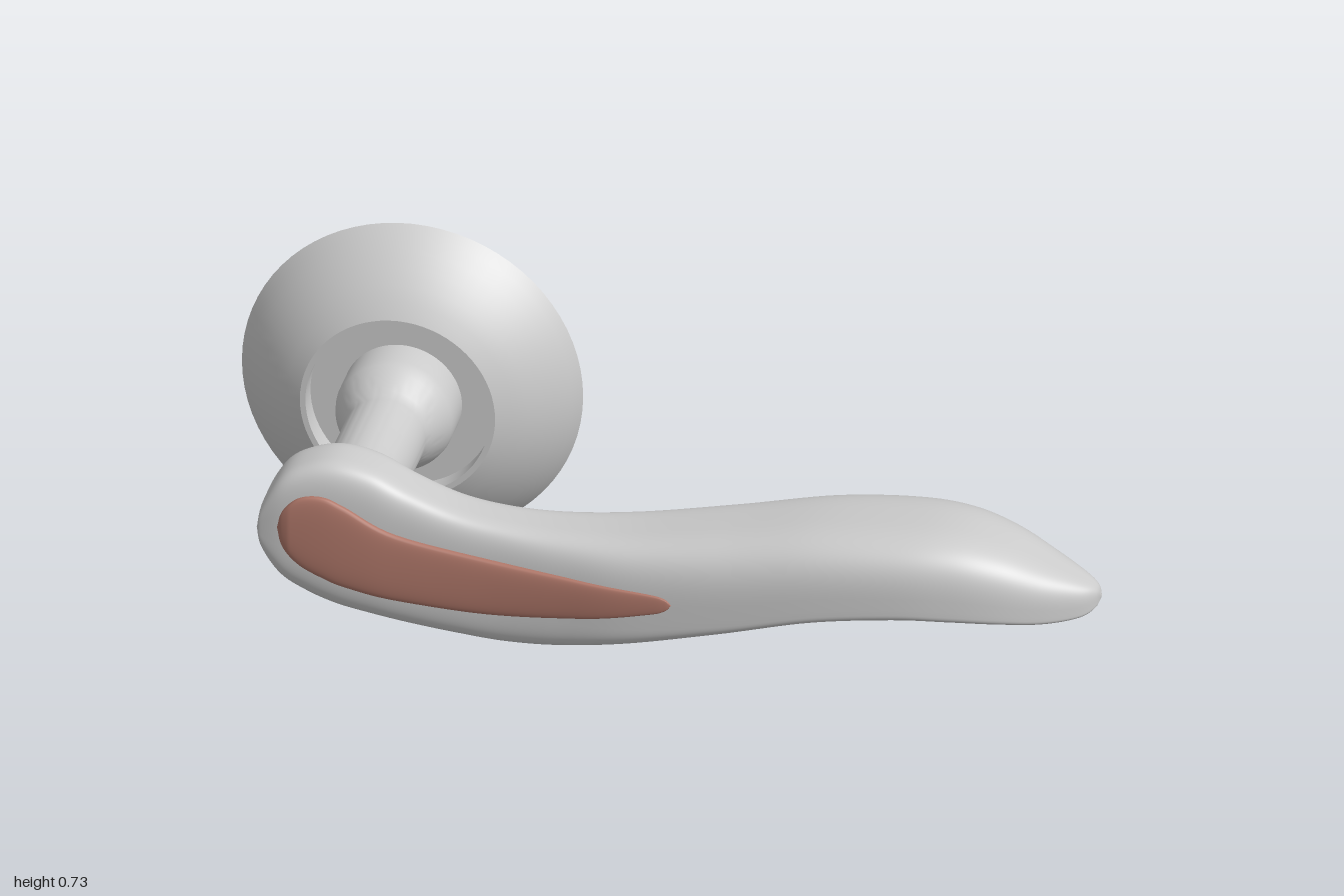
import * as THREE from 'three';
import { toCreasedNormals } from 'three/addons/utils/BufferGeometryUtils.js';

const CX = -0.635, CY = 0.368;   // spindle axis

// lever outline stations: x, top y, bottom y, back z, front z
const LEVER = [
  [-0.805, 0.375, 0.375, 0.19, 0.31],
  [-0.795, 0.43, 0.32, 0.183, 0.317],
  [-0.755, 0.495, 0.262, 0.176, 0.326],
  [-0.7, 0.528, 0.229, 0.172, 0.33],
  [-0.635, 0.541, 0.205, 0.17, 0.332],
  [-0.56, 0.527, 0.19, 0.172, 0.332],
  [-0.48, 0.49, 0.178, 0.178, 0.331],
  [-0.38, 0.455, 0.168, 0.182, 0.332],
  [-0.27, 0.438, 0.163, 0.177, 0.338],
  [-0.15, 0.434, 0.175, 0.159, 0.354],
  [0, 0.445, 0.21, 0.13, 0.38],
  [0.2, 0.48, 0.27, 0.105, 0.402],
  [0.4, 0.52, 0.33, 0.091, 0.416],
  [0.58, 0.537, 0.359, 0.09, 0.417],
  [0.7, 0.535, 0.363, 0.105, 0.406],
  [0.8, 0.51, 0.36, 0.13, 0.384],
  [0.89, 0.468, 0.355, 0.162, 0.348],
  [0.96, 0.435, 0.36, 0.2, 0.307],
  [0.99, 0.416, 0.374, 0.227, 0.277],
  [1, 0.395, 0.395, 0.25, 0.25],
];

// inlay outline stations: x, top y, bottom y
const INLAY = [
  [-0.757, 0.39, 0.39], [-0.745, 0.43, 0.348], [-0.71, 0.464, 0.31],
  [-0.66, 0.473, 0.285], [-0.61, 0.455, 0.268], [-0.5, 0.402, 0.249],
  [-0.3, 0.37, 0.243], [-0.1, 0.357, 0.27], [0.05, 0.355, 0.308],
  [0.09, 0.35, 0.323], [0.105, 0.338, 0.338],
];

const spline = (rows, cols) => new THREE.CatmullRomCurve3(
  rows.map(r => new THREE.Vector3(...cols.map(c => r[c]))), false, 'catmullrom', 0.5);

const heights = spline(LEVER, [0, 1, 2]);
const depths = spline(LEVER, [0, 3, 4]);
const inlayEdge = spline(INLAY, [0, 1, 2]);

// Section of the lever: a rounded box at the head, a domed top over a flat base at the grip
function section(t) {
  const h = heights.getPoint(t), d = depths.getPoint(t);
  const k = THREE.MathUtils.smoothstep(h.x, -0.45, 0.35);
  const mid = THREE.MathUtils.lerp(h.z, h.y, THREE.MathUtils.lerp(0.5, 0.2, k));
  return {
    x: h.x, mid, up: h.y - mid, down: mid - h.z,
    z: (d.y + d.z) / 2, half: (d.z - d.y) / 2,
    nUp: THREE.MathUtils.lerp(4.5, 3.3, k), nDown: THREE.MathUtils.lerp(4.5, 5, k),
  };
}

const power = (v, n) => Math.sign(v) * Math.abs(v) ** (2 / n);

function leverPoint(t, a) {
  const s = section(t), sin = Math.sin(a);
  const n = sin >= 0 ? s.nUp : s.nDown;
  return [s.x, s.mid + power(sin, n) * (sin >= 0 ? s.up : s.down), s.z + power(Math.cos(a), n) * s.half];
}

// Front face of the lever at a given x and y
function leverFront(x, y) {
  let lo = 0, hi = 1;
  for (let i = 0; i < 24; i++) {
    const m = (lo + hi) / 2;
    if (heights.getPoint(m).x < x) lo = m; else hi = m;
  }
  const s = section(lo), v = y - s.mid;
  const n = v >= 0 ? s.nUp : s.nDown;
  const r = Math.min(1, Math.abs(v) / (v >= 0 ? s.up : s.down));
  return s.z + s.half * (1 - r ** n) ** (1 / n);
}

// Shallow dome that follows the lever's front, with its underside sunk into the lever
function inlayPoint(t, a) {
  const e = inlayEdge.getPoint(t), c = Math.cos(a);
  const y = (e.y + e.z) / 2 + Math.sin(a) * (e.y - e.z) / 2;
  const lift = c >= 0 ? 0.003 + 0.013 * Math.sqrt(c) * Math.min(1, (e.y - e.z) / 0.12) : -0.02;
  return [e.x, y, leverFront(e.x, y) + lift];
}

// Closed loops of points joined along x
function loft(point, rings, sides) {
  const pos = [], index = [];
  for (let i = 0; i <= rings; i++)
    for (let j = 0; j < sides; j++) pos.push(...point(i / rings, (j / sides) * Math.PI * 2));
  for (let i = 0; i < rings; i++)
    for (let j = 0; j < sides; j++) {
      const k = (j + 1) % sides;
      const a = i * sides + j, b = a + sides, c = (i + 1) * sides + k, d = i * sides + k;
      index.push(a, b, c, a, c, d);
    }
  const g = new THREE.BufferGeometry();
  g.setAttribute('position', new THREE.Float32BufferAttribute(pos, 3));
  g.setIndex(index);
  g.computeVertexNormals();
  return g;
}

// Turned part around the spindle axis, from [radius, z] pairs
function turned(profile) {
  const g = new THREE.LatheGeometry(profile.map(p => new THREE.Vector2(...p)), 72);
  g.rotateX(Math.PI / 2).translate(CX, CY, 0);
  return toCreasedNormals(g, 0.5);
}

export function createModel() {
  const group = new THREE.Group();
  const grey = new THREE.MeshStandardMaterial({ color: 0xcccccc });
  const copper = new THREE.MeshStandardMaterial({ color: 0xb0786a });
  const add = (name, geometry, material = grey) => {
    const mesh = new THREE.Mesh(geometry, material);
    mesh.name = name;
    group.add(mesh);
  };

  // domed wall plate with a round recess in its face
  add('rosette', turned([
    [0, -0.42], [0.367, -0.42], [0.35, -0.395], [0.327, -0.368], [0.3, -0.341],
    [0.272, -0.317], [0.242, -0.295], [0.21, -0.277], [0.198, -0.277],
    [0.198, -0.325], [0, -0.325],
  ]));

  // spindle neck, flared at the wall and filleted into the lever head
  add('neck', turned([
    [0.128, -0.33], [0.128, -0.255], [0.125, -0.24], [0.117, -0.222], [0.105, -0.197],
    [0.096, -0.18], [0.09, -0.168], [0.088, -0.155], [0.088, 0.085], [0.091, 0.108],
    [0.098, 0.13], [0.11, 0.15], [0.126, 0.165], [0.14, 0.175], [0.14, 0.2],
  ]));

  add('lever', loft(leverPoint, 152, 96));
  add('inlay', loft(inlayPoint, 80, 48), copper);
  return group;
}
